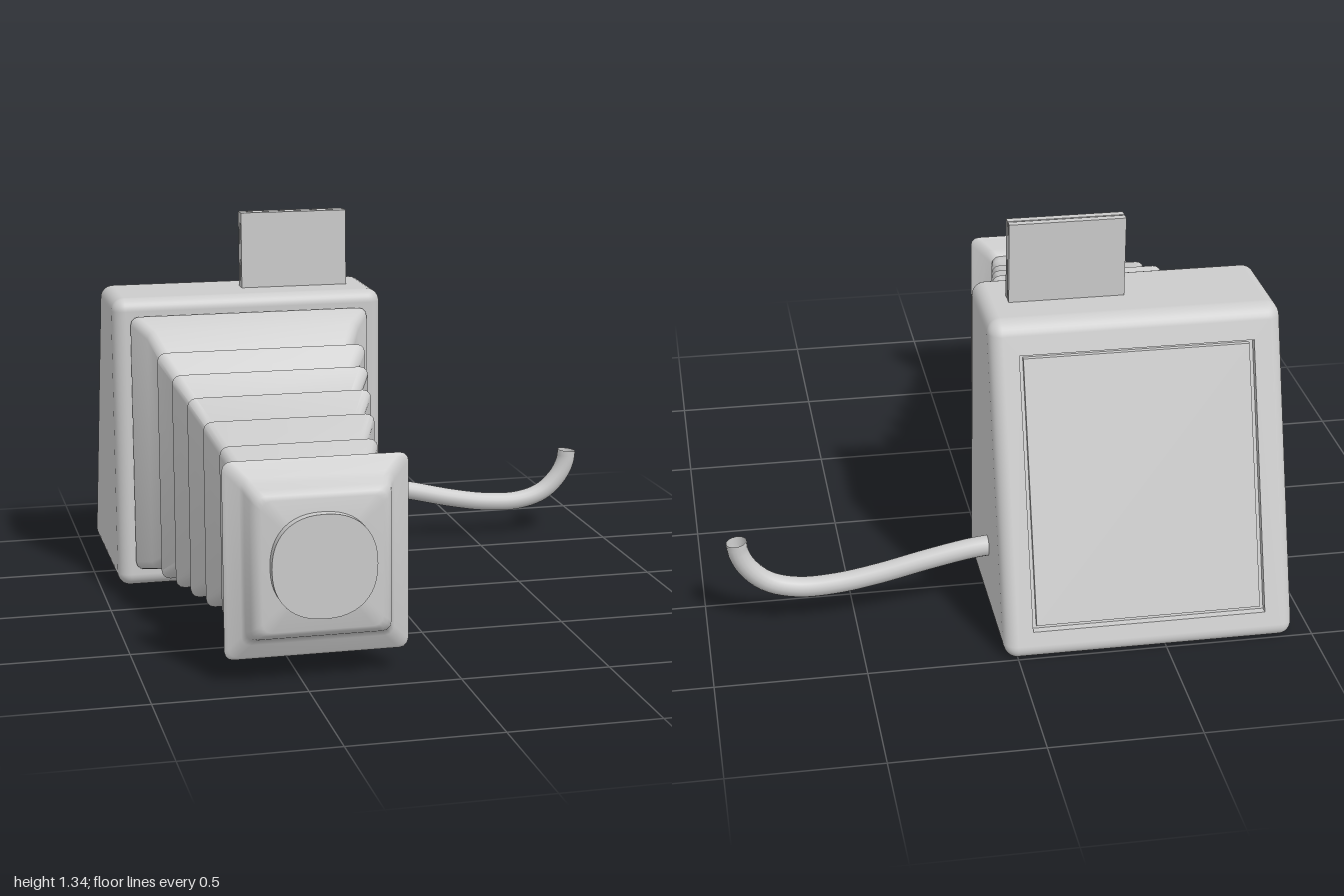
import * as THREE from 'three';
import { RoundedBoxGeometry } from 'three/addons/geometries/RoundedBoxGeometry.js';
import { toCreasedNormals } from 'three/addons/utils/BufferGeometryUtils.js';

const CX = -0.445;      // centre line of the camera body
const SLOPE = 0.347;    // lean of the back face
const BACK = -1.013;
const grey = new THREE.MeshStandardMaterial({ color: 0xcccccc });
const openGrey = new THREE.MeshStandardMaterial({ color: 0xcccccc, side: THREE.DoubleSide });

function add(group, name, geometry, material = grey) {
  const mesh = new THREE.Mesh(geometry, material);
  mesh.name = name;
  group.add(mesh);
  return mesh;
}

// Shears everything in the rear half forward with height, normals included
function leanBack(geo) {
  const p = geo.attributes.position, n = geo.attributes.normal;
  const v = new THREE.Vector3();
  for (let i = 0; i < p.count; i++) {
    if (p.getZ(i) > -0.6) continue;
    p.setZ(i, p.getZ(i) + SLOPE * p.getY(i));
    v.fromBufferAttribute(n, i);
    v.y -= SLOPE * v.z;
    v.normalize();
    n.setXYZ(i, v.x, v.y, v.z);
  }
  return geo;
}

// Rounded box without its flat rear quad, so the screen can be recessed there
function bodyShell(w, h, d, r) {
  const box = new RoundedBoxGeometry(w, h, d, 4, r);
  box.translate(CX, h / 2, BACK + d / 2);
  const p = box.attributes.position, n = box.attributes.normal;
  const pos = [], nor = [];
  for (let t = 0; t < p.count; t += 3) {
    if ([0, 1, 2].every(k => n.getZ(t + k) < -0.999)) continue;
    for (let k = t; k < t + 3; k++) {
      pos.push(p.getX(k), p.getY(k), p.getZ(k));
      nor.push(n.getX(k), n.getY(k), n.getZ(k));
    }
  }
  const geo = new THREE.BufferGeometry();
  geo.setAttribute('position', new THREE.Float32BufferAttribute(pos, 3));
  geo.setAttribute('normal', new THREE.Float32BufferAttribute(nor, 3));
  return geo;
}

function rectangle(PathType, x0, y0, x1, y1) {
  return new PathType([[x0, y0], [x1, y0], [x1, y1], [x0, y1]].map(c => new THREE.Vector2(...c)));
}

// Rounded-rectangle ring, counter-clockwise seen from the front
function ring([z, half, y0, y1], steps = 3) {
  const r = Math.min(0.03, half * 0.5), cy = (y0 + y1) / 2, hh = (y1 - y0) / 2;
  const pts = [];
  [[1, 1], [-1, 1], [-1, -1], [1, -1]].forEach(([sx, sy], q) => {
    for (let i = 0; i <= steps; i++) {
      const a = (q + i / steps) * Math.PI / 2;
      pts.push([CX + sx * (half - r) + r * Math.cos(a), cy + sy * (hh - r) + r * Math.sin(a), z]);
    }
  });
  return pts;
}

function loft(sections) {
  const rings = sections.map(s => ring(s));
  const m = rings[0].length, index = [];
  for (let i = 0; i < rings.length - 1; i++) {
    for (let j = 0; j < m; j++) {
      const a = i * m + j, b = i * m + (j + 1) % m;
      index.push(a, b, b + m, a, b + m, a + m);
    }
  }
  const geo = new THREE.BufferGeometry();
  geo.setAttribute('position', new THREE.Float32BufferAttribute(rings.flat(2), 3));
  geo.setIndex(index);
  return toCreasedNormals(geo, 1.25);
}

export function createModel() {
  const model = new THREE.Group();
  model.name = 'bellowsCamera';

  // Body with sloping back
  const W = 0.98, H = 1.06, D = BACK * -1 - 0.27, R = 0.045;
  add(model, 'body', leanBack(bodyShell(W, H, D, R)));

  // Screen surround, recess floor and panel
  const hw = W / 2 - R, sw = 0.393, sy0 = 0.09, sy1 = 0.955;
  const frame = rectangle(THREE.Shape, CX - hw, R, CX + hw, H - R);
  frame.holes.push(rectangle(THREE.Path, CX - sw, sy0, CX + sw, sy1));
  const frameGeo = new THREE.ExtrudeGeometry(frame, { depth: 0.03, bevelEnabled: false });
  add(model, 'screenFrame', leanBack(frameGeo.translate(0, 0, BACK)));
  const slab = (inset, depth) => leanBack(
    new THREE.BoxGeometry(2 * (sw - inset), sy1 - sy0 - 2 * inset, 0.02)
      .translate(CX, (sy0 + sy1) / 2, BACK + depth + 0.01));
  add(model, 'screenRecess', slab(0, 0.025));
  add(model, 'screen', slab(0.014, 0.01));

  // Bellows: z, half width, bottom, top; ridges and valleys taper to the front
  const sections = [
    [-0.28, 0.41, 0.09, 0.975], [-0.265, 0.415, 0.085, 0.98],
    [-0.25, 0.43, 0.07, 1.0], [-0.175, 0.382, 0.088, 0.96],
  ];
  const mix = THREE.MathUtils.lerp;
  for (let i = 0; i < 6; i++) {
    const t = i / 5, z = -0.1 + i * 0.158;
    sections.push([z, mix(0.33, 0.225, t), mix(0.155, 0.195, t), mix(0.86, 0.652, t)]);
    sections.push([z + 0.079, mix(0.37, 0.237, t), mix(0.097, 0.15, t), mix(0.91, 0.667, t)]);
  }
  add(model, 'bellows', loft([...sections, [0.83, 0.226, 0.153, 0.658]]));

  // Flared front plate, closed at the front
  add(model, 'frontPlate', loft([
    [0.83, 0.226, 0.153, 0.658], [0.85, 0.25, 0.125, 0.68], [0.86, 0.29, 0.088, 0.718],
    [0.868, 0.302, 0.078, 0.728], [0.878, 0.29, 0.088, 0.718], [0.89, 0.25, 0.13, 0.675],
    [0.905, 0.238, 0.148, 0.66], [0.94, 0.228, 0.162, 0.648], [0.96, 0.212, 0.178, 0.632],
    [0.967, 0.195, 0.19, 0.618], [0.967, 0.004, 0.401, 0.409],
  ]));

  // Lens: slightly squared disc
  const outline = [];
  for (let i = 0; i < 48; i++) {
    const a = i / 48 * Math.PI * 2;
    const curve = c => 0.17 * Math.sign(c) * Math.abs(c) ** 0.87;
    outline.push(new THREE.Vector2(CX + curve(Math.cos(a)), 0.405 + curve(Math.sin(a))));
  }
  const lensGeo = new THREE.ExtrudeGeometry(new THREE.Shape(outline), { depth: 0.045, bevelEnabled: false });
  add(model, 'lens', toCreasedNormals(lensGeo.translate(0, 0, 0.955), 0.6));

  // Pair of upright finder plates
  for (const z of [-0.443, -0.475]) {
    add(model, 'finderPlate', new THREE.BoxGeometry(0.39, 0.275, 0.026))
      .position.set(-0.245, 1.1975, z);
  }

  // Curved, open-ended cable on the left side
  const cable = new THREE.CatmullRomCurve3([
    [0.0, 0.24], [0.1, 0.23], [0.25, 0.2], [0.42, 0.16], [0.56, 0.137], [0.69, 0.135],
    [0.79, 0.165], [0.855, 0.225], [0.885, 0.285], [0.89, 0.327],
  ].map(([x, y]) => new THREE.Vector3(x, y, -0.645)));
  add(model, 'cable', new THREE.TubeGeometry(cable, 48, 0.035, 16), openGrey);

  return model;
}
